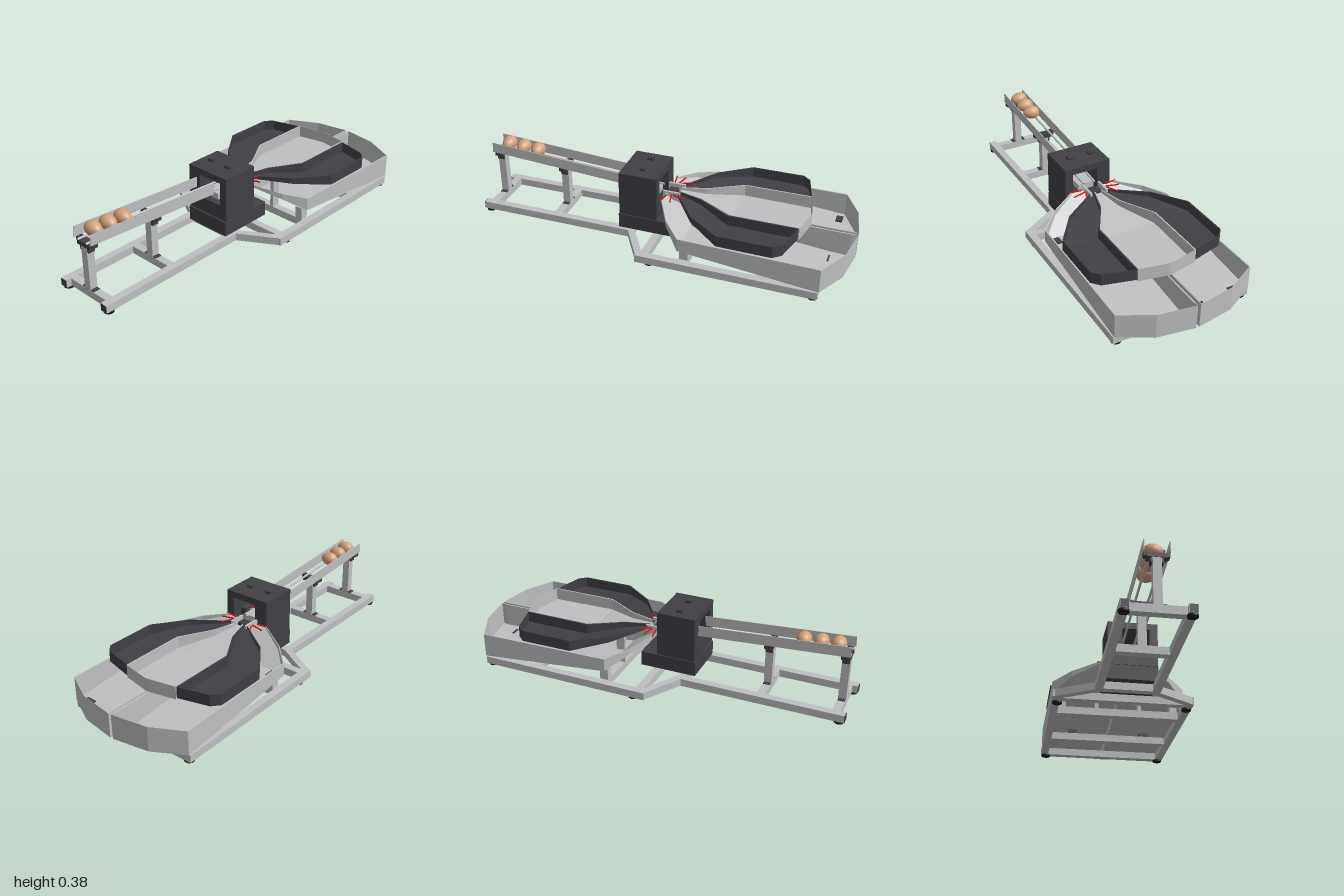
import * as THREE from 'three';

const light = new THREE.MeshStandardMaterial({ name: 'light aluminium', color: 0xbfc0c1, side: THREE.DoubleSide });
const dark = new THREE.MeshStandardMaterial({ name: 'dark plastic', color: 0x403f45, side: THREE.DoubleSide });
const black = new THREE.MeshStandardMaterial({ name: 'black rubber', color: 0x1d1d20 });
const eggTan = new THREE.MeshStandardMaterial({ name: 'egg tan', color: 0xd2a27c });
const red = new THREE.MeshStandardMaterial({ name: 'red', color: 0xd01818 });

export function createModel() {
  const root = new THREE.Group();
  root.name = 'eggSorter';

  const add = (name, geo, mat) => {
    const m = new THREE.Mesh(geo, mat);
    m.name = name;
    root.add(m);
    return m;
  };
  // Box given by its min and max corners
  const box = (name, mat, x0, x1, y0, y1, z0, z1) => {
    const g = new THREE.BoxGeometry(x1 - x0, y1 - y0, z1 - z0);
    g.translate((x0 + x1) / 2, (y0 + y1) / 2, (z0 + z1) / 2);
    return add(name, g, mat);
  };
  // Rectangular bar between two points
  const bar = (name, mat, a, b, w, h) => {
    const A = new THREE.Vector3(...a), B = new THREE.Vector3(...b);
    const m = add(name, new THREE.BoxGeometry(w, h, A.distanceTo(B)), mat);
    m.position.copy(A).add(B).multiplyScalar(0.5);
    m.lookAt(B);
    return m;
  };
  // Open tray from stations [z, inner x, outer x, floor y, rim y]
  const tray = (name, mat, stations, side) => {
    const pos = [], t = 0.007;
    const quad = (a, b, c, d) => pos.push(...a, ...b, ...c, ...a, ...c, ...d);
    const section = ([z, xi, xo, yf, yt]) => {
      const ti = Math.min(t, (xo - xi) / 2);
      return [[xi, yt], [xi, yf], [xo, yf], [xo, yt], [xo - ti, yt], [xo - ti, yf + 0.004],
        [xi + ti, yf + 0.004], [xi + ti, yt]].map(([x, y]) => [x * side, y, z]);
    };
    const secs = stations.map(section);
    for (let i = 0; i + 1 < secs.length; i++) {
      for (let k = 0; k < 8; k++) {
        const n = (k + 1) % 8, a = secs[i], b = secs[i + 1];
        if (side > 0) quad(a[k], b[k], b[n], a[n]);
        else quad(a[k], a[n], b[n], b[k]);
      }
    }
    const e = secs[secs.length - 1];
    quad(e[0], e[1], e[2], e[3]);
    const g = new THREE.BufferGeometry();
    g.setAttribute('position', new THREE.Float32BufferAttribute(pos, 3));
    g.computeVertexNormals();
    return add(name, g, mat);
  };

  // Base frame
  for (const s of [-1, 1]) {
    const x = 0.145 * s, w = 0.345 * s;
    box('narrowRail', light, x - 0.02, x + 0.02, 0.01, 0.05, 0.13, 0.997);
    box('railEndCap', dark, x - 0.018, x + 0.018, 0.012, 0.048, 0.994, 1);
    box('wideRail', light, w - 0.02, w + 0.02, 0.01, 0.05, -0.88, 0.04);
    bar('diagonalRail', light, [w, 0.03, 0.025], [x, 0.03, 0.145], 0.036, 0.04);
    for (const [fx, fz] of [[x, 0.97], [0.337 * s, -0.03], [0.337 * s, -0.855]]) {
      const foot = add('foot', new THREE.CylinderGeometry(0.025, 0.025, 0.01, 16), black);
      foot.position.set(fx, 0.005, fz);
    }
    // Tray supports
    box('trayPost', light, 0.3 * s - 0.02, 0.3 * s + 0.02, 0.05, 0.115, -0.225, -0.18);
    box('innerTrayPost', light, 0.115 * s - 0.01, 0.115 * s + 0.01, 0.05, 0.215, -0.225, -0.18);
    box('floorBracket', dark, 0.205 * s - 0.025, 0.205 * s + 0.025, 0.05, 0.073, -0.61, -0.57);
  }
  for (const z of [0.15, 0.57, 0.95]) box('narrowCrossbar', light, -0.125, 0.125, 0.01, 0.05, z - 0.02, z + 0.02);
  for (const z of [-0.86, -0.59, -0.2, 0.0]) box('wideCrossbar', light, -0.325, 0.325, 0.01, 0.05, z - 0.02, z + 0.02);

  // Collecting trays
  for (const s of [-1, 1]) {
    tray('lowerTray', light, [
      [-0.015, 0.05, 0.12, 0.235, 0.247],
      [-0.09, 0.03, 0.26, 0.185, 0.216],
      [-0.18, 0.008, 0.355, 0.12, 0.188],
      [-0.885, 0.008, 0.362, 0.053, 0.18],
      [-0.97, 0.008, 0.2, 0.05, 0.18],
      [-1, 0.008, 0.012, 0.05, 0.18]], s);
    tray('sideTray', dark, [
      [-0.08, 0.022, 0.05, 0.235, 0.25],
      [-0.1, 0.025, 0.08, 0.232, 0.25],
      [-0.21, 0.057, 0.235, 0.218, 0.25],
      [-0.375, 0.156, 0.355, 0.193, 0.25],
      [-0.65, 0.156, 0.355, 0.19, 0.25],
      [-0.69, 0.156, 0.32, 0.19, 0.25],
      [-0.73, 0.156, 0.165, 0.19, 0.25]], s);
    // Mounting plates on the lower tray floor
    box('rearPlate', dark, 0.29 * s - 0.027, 0.29 * s + 0.027, 0.061, 0.067, -0.885, -0.85);
    box('rearSlot', dark, 0.085 * s - 0.024, 0.085 * s + 0.024, 0.061, 0.067, -0.882, -0.874);
    box('frontPlate', dark, 0.31 * s - 0.025, 0.31 * s + 0.025, 0.122, 0.128, -0.235, -0.187);
  }
  tray('middleTray', light, [
    [-0.08, -0.022, 0.022, 0.235, 0.252],
    [-0.21, -0.057, 0.057, 0.216, 0.252],
    [-0.385, -0.156, 0.156, 0.187, 0.252],
    [-0.735, -0.156, 0.156, 0.183, 0.252],
    [-0.765, -0.008, 0.008, 0.183, 0.252]], 1);

  // Housing with a window through it
  const face = new THREE.Shape([[-0.11, 0.132], [0.147, 0.132], [0.147, 0.37], [-0.11, 0.37]].map(p => new THREE.Vector2(...p)));
  face.holes.push(new THREE.Path([[-0.035, 0.21], [-0.035, 0.335], [0.105, 0.335], [0.105, 0.21]].map(p => new THREE.Vector2(...p))));
  add('housing', new THREE.ExtrudeGeometry(face, { depth: 0.205, bevelEnabled: false }), dark);
  box('housingBase', dark, -0.11, 0.147, 0.05, 0.128, -0.09, 0.21);
  for (const x of [-0.05, 0.068]) box('topKnob', dark, x - 0.016, x + 0.016, 0.37, 0.384, 0.085, 0.115);

  // Mechanism inside the window
  box('scale', light, -0.03, 0.058, 0.212, 0.245, 0.03, 0.17);
  box('motor', dark, 0.075, 0.105, 0.212, 0.256, 0.06, 0.14);
  const shaft = add('motorShaft', new THREE.CylinderGeometry(0.008, 0.008, 0.03, 12), light);
  shaft.rotation.z = Math.PI / 2;
  shaft.position.set(0.065, 0.24, 0.1);
  box('redSwitch', red, 0.062, 0.07, 0.248, 0.256, 0.09, 0.11);

  // Neck and red sorting arms
  box('neckBlock', dark, -0.03, 0.03, 0.205, 0.24, -0.06, -0.015);
  for (const s of [-1, 1]) {
    box('neckGuide', light, 0.045 * s - 0.006, 0.045 * s + 0.006, 0.21, 0.255, -0.09, 0);
    bar('redArm', red, [0.06 * s, 0.248, -0.05], [0.13 * s, 0.246, -0.065], 0.006, 0.005);
    bar('redArm', red, [0.06 * s, 0.248, -0.06], [0.09 * s, 0.248, -0.12], 0.006, 0.005);
    bar('redArm', red, [0.07 * s, 0.246, -0.025], [0.135 * s, 0.245, -0.015], 0.006, 0.005);
  }

  // Sloping infeed chute
  for (const s of [-1, 1]) {
    bar('chuteSide', light, [0.058 * s, 0.337, 0.975], [0.058 * s, 0.286, 0.2], 0.004, 0.055);
    const path = new THREE.LineCurve3(new THREE.Vector3(0.03 * s, 0.311, 0.975), new THREE.Vector3(0.03 * s, 0.248, 0.02));
    add('chuteRod', new THREE.TubeGeometry(path, 1, 0.006, 10), light);
  }
  for (const [z, y] of [[0.95, 0.28], [0.57, 0.255]]) {
    box('chutePost', light, -0.02, 0.02, 0.05, y, z - 0.02, z + 0.02);
    box('chuteBracket', dark, -0.045, 0.045, y, y + 0.022, z - 0.022, z + 0.022);
    box('bracketCollar', dark, -0.03, 0.03, y - 0.025, y, z - 0.018, z + 0.018);
    box('postFoot', dark, -0.04, 0.04, 0.05, 0.054, z - 0.018, z + 0.018);
    for (const s of [-1, 1]) box('chuteLug', dark, 0.05 * s - 0.008, 0.05 * s + 0.008, y + 0.008, y + 0.03, z - 0.015, z + 0.015);
  }

  // Eggs, blunt end toward -x
  const profile = [];
  for (let i = 0; i <= 20; i++) {
    const a = Math.PI * i / 20, c = Math.cos(a);
    profile.push(new THREE.Vector2(Math.max(0.037 * Math.sin(a) * (1 + 0.12 * c), 0), -0.048 * c));
  }
  const eggGeo = new THREE.LatheGeometry(profile, 32);
  eggGeo.rotateZ(-Math.PI / 2);
  for (const [z, y] of [[0.905, 0.346], [0.82, 0.34], [0.735, 0.334]]) add('egg', eggGeo, eggTan).position.set(-0.004, y, z);

  return root;
}
